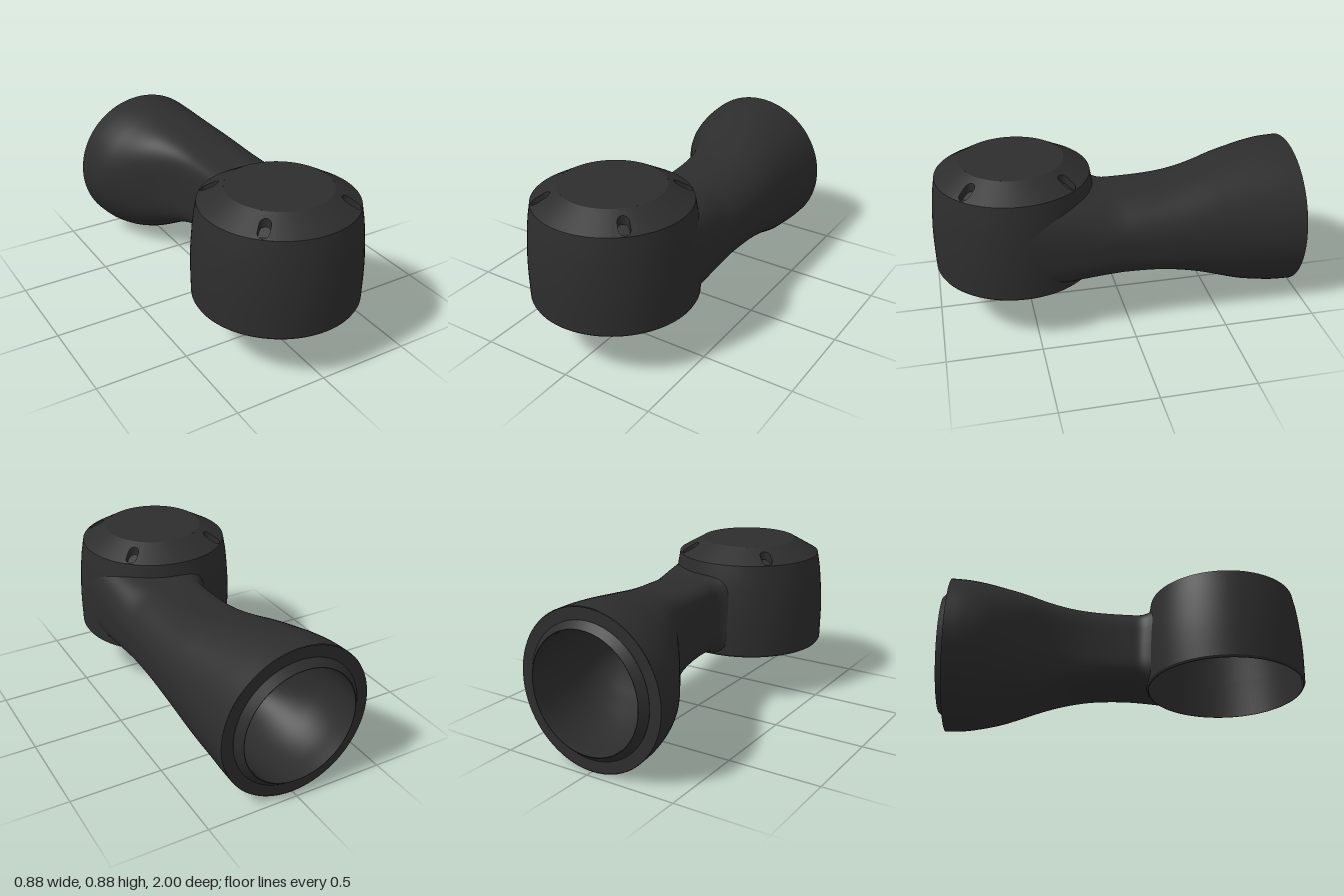
import * as THREE from 'three';
import { toCreasedNormals } from 'three/addons/utils/BufferGeometryUtils.js';

const material = new THREE.MeshStandardMaterial({ color: 0x2d2d2d, side: THREE.DoubleSide });
const HOUSING_Z = 0.56;
const V2 = (p) => new THREE.Vector2(p[0], p[1]);

function add(parent, name, geometry) {
  const mesh = new THREE.Mesh(geometry, material);
  mesh.name = name;
  parent.add(mesh);
  return mesh;
}

// Skin over a list of closed rings with equal point counts
function loft(rings, flip = false) {
  const n = rings[0].length, index = [];
  for (let i = 0; i < rings.length - 1; i++) {
    for (let j = 0; j < n; j++) {
      const a = i * n + j, b = i * n + (j + 1) % n, c = a + n, d = b + n;
      if (flip) index.push(a, c, b, b, c, d);
      else index.push(a, b, c, b, d, c);
    }
  }
  const geometry = new THREE.BufferGeometry().setFromPoints(rings.flat());
  geometry.setIndex(index);
  geometry.computeVertexNormals();
  return geometry;
}

function lathe(points, segments = 96, start = 0, length = Math.PI * 2) {
  return toCreasedNormals(new THREE.LatheGeometry(points.map(V2), segments, start, length), 0.4);
}

// Arm outline at even steps from the wall end forward: left edge, top, bottom
const armRows = [
  [-0.415, 0.836, 0], [-0.405, 0.834, 0.007], [-0.378, 0.824, 0.03], [-0.318, 0.806, 0.07],
  [-0.25, 0.785, 0.125], [-0.177, 0.764, 0.182], [-0.125, 0.745, 0.229], [-0.095, 0.73, 0.263],
  [-0.08, 0.722, 0.285], [-0.072, 0.72, 0.295], [-0.07, 0.72, 0.298],
];
const armCurve = new THREE.CatmullRomCurve3(
  armRows.map((r) => new THREE.Vector3(...r)), false, 'catmullrom', 0.5);

// Rounded section: a circle at the wall end, squarer along the arm
// except on its upper right, which stays round until it meets the housing
function armRing(u, inner, end = 0) {
  const z = -0.96 + u;
  const p = armCurve.getPoint(u);
  const left = p.x - 0.04 * end ** 3, right = 0.415 + 0.019 * end;
  const top = p.y + 0.012 * end ** 3, bottom = p.z - 0.015 * end ** 2;
  const wall = inner ? THREE.MathUtils.mapLinear(Math.min(z, -0.5), -0.96, -0.5, 0.1, 0.05) : 0;
  const rx = (right - left) / 2 - wall, ry = (top - bottom) / 2 - wall;
  const square = THREE.MathUtils.smoothstep(z, -0.8, -0.05);
  const ring = [];
  for (let j = 0; j < 80; j++) {
    const a = j / 80 * Math.PI * 2, c = Math.cos(a), s = Math.sin(a);
    const extra = c < 0 ? 3 * square : s < 0 ? 1.5 * square : 2 * end ** 2;
    const power = 2 / (2 + extra);
    const x = (right + left) / 2 + rx * Math.sign(c) * Math.abs(c) ** power;
    const y = (top + bottom) / 2 + ry * Math.sign(s) * Math.abs(s) ** power;
    // The last rings follow the round side of the housing
    const radius = 0.437 - 0.4 * Math.max(0, y - 0.5) ** 2;
    const zEnd = HOUSING_Z - Math.sqrt(Math.max(0, radius ** 2 - x * x));
    ring.push(new THREE.Vector3(x, y, THREE.MathUtils.lerp(z, zEnd, end)));
  }
  return ring;
}

function armSkin(inner) {
  const rings = [];
  for (let i = 0; i <= 40; i++) rings.push(armRing(i / 40, inner));
  for (let i = 1; i <= 10; i++) rings.push(armRing(1, inner, i / 10));
  if (inner) rings.unshift(rings[0].map((p) => new THREE.Vector3(p.x, p.y, -1)));
  return loft(rings, inner);
}

// Sloped shoulder of the housing
const R_OUT = 0.407, R_IN = 0.272, Y_LOW = 0.8, Y_HIGH = 0.877, HALF = 0.16;
const slopeY = (r) => THREE.MathUtils.mapLinear(r, R_OUT, R_IN, Y_LOW, Y_HIGH);

// Lay a flat shape on the slope, radial along x
function onSlope(shape, drop) {
  const geometry = new THREE.ShapeGeometry(shape);
  const pos = geometry.attributes.position;
  for (let i = 0; i < pos.count; i++) {
    const x = pos.getX(i), y = pos.getY(i);
    pos.setXYZ(i, x, slopeY(Math.hypot(x, y)) - drop, -y);
  }
  geometry.computeVertexNormals();
  return geometry;
}

function screwPocket() {
  const group = new THREE.Group();
  group.name = 'screwPocket';
  const arc = (r, from, to, n, cx = 0) => Array.from({ length: n + 1 }, (_, i) => {
    const a = from + (to - from) * i / n;
    return new THREE.Vector2(cx + r * Math.cos(a), r * Math.sin(a));
  });
  const slot = [
    ...arc(0.029, -Math.PI / 2, Math.PI / 2, 12, 0.372),
    ...arc(0.029, Math.PI / 2, Math.PI * 1.5, 12, 0.335),
  ];
  const sector = new THREE.Shape([...arc(R_OUT, -HALF, HALF, 6), ...arc(R_IN, HALF, -HALF, 6)]);
  sector.holes.push(new THREE.Path(slot));
  add(group, 'pocketSurround', onSlope(sector, 0));
  add(group, 'pocketFloor', onSlope(new THREE.Shape(slot), 0.045));
  add(group, 'pocketWall', loft([0, 0.045].map((drop) =>
    slot.map((p) => new THREE.Vector3(p.x, slopeY(p.length()) - drop, -p.y)))));
  const screw = add(group, 'screwHead', new THREE.CylinderGeometry(0.026, 0.026, 0.03, 24));
  screw.position.set(0.372, 0.77, 0);
  return group;
}

export function createModel() {
  const model = new THREE.Group();
  model.name = 'wallMount';

  // Round housing, open underneath
  const housing = new THREE.Group();
  housing.name = 'housing';
  housing.position.z = HOUSING_Z;
  model.add(housing);
  add(housing, 'housingShell', lathe([
    [0, 0.725], [0.408, 0.725], [0.424, 0.5], [0.426, 0.275], [0.43, 0.275], [0.437, 0.287],
    [0.439, 0.37], [0.44, 0.45], [0.438, 0.53], [0.433, 0.6], [0.428, 0.66], [0.421, 0.72],
    [R_OUT, Y_LOW],
  ]));
  add(housing, 'housingTop', lathe([[R_IN, Y_HIGH], [0, Y_HIGH]]));

  // Shoulder with four screw pockets
  for (let k = 0; k < 4; k++) {
    const angle = Math.PI / 4 + k * Math.PI / 2;
    const pocket = screwPocket();
    pocket.rotation.y = angle;
    housing.add(pocket);
    add(housing, 'shoulder', lathe([[R_OUT, Y_LOW], [R_IN, Y_HIGH]], 20,
      angle + HALF, Math.PI / 2 - 2 * HALF));
  }

  // Hollow arm flaring into the wall socket
  add(model, 'arm', armSkin(false));
  add(model, 'armBore', armSkin(true));

  // Stepped rim of the socket
  const rim = add(model, 'socketRim', lathe(
    [[0.315, -1], [0.318, -1], [0.352, -0.962], [0.352, -0.96], [0.415, -0.96]]));
  rim.rotation.x = Math.PI / 2;
  rim.position.y = 0.418;

  return model;
}
